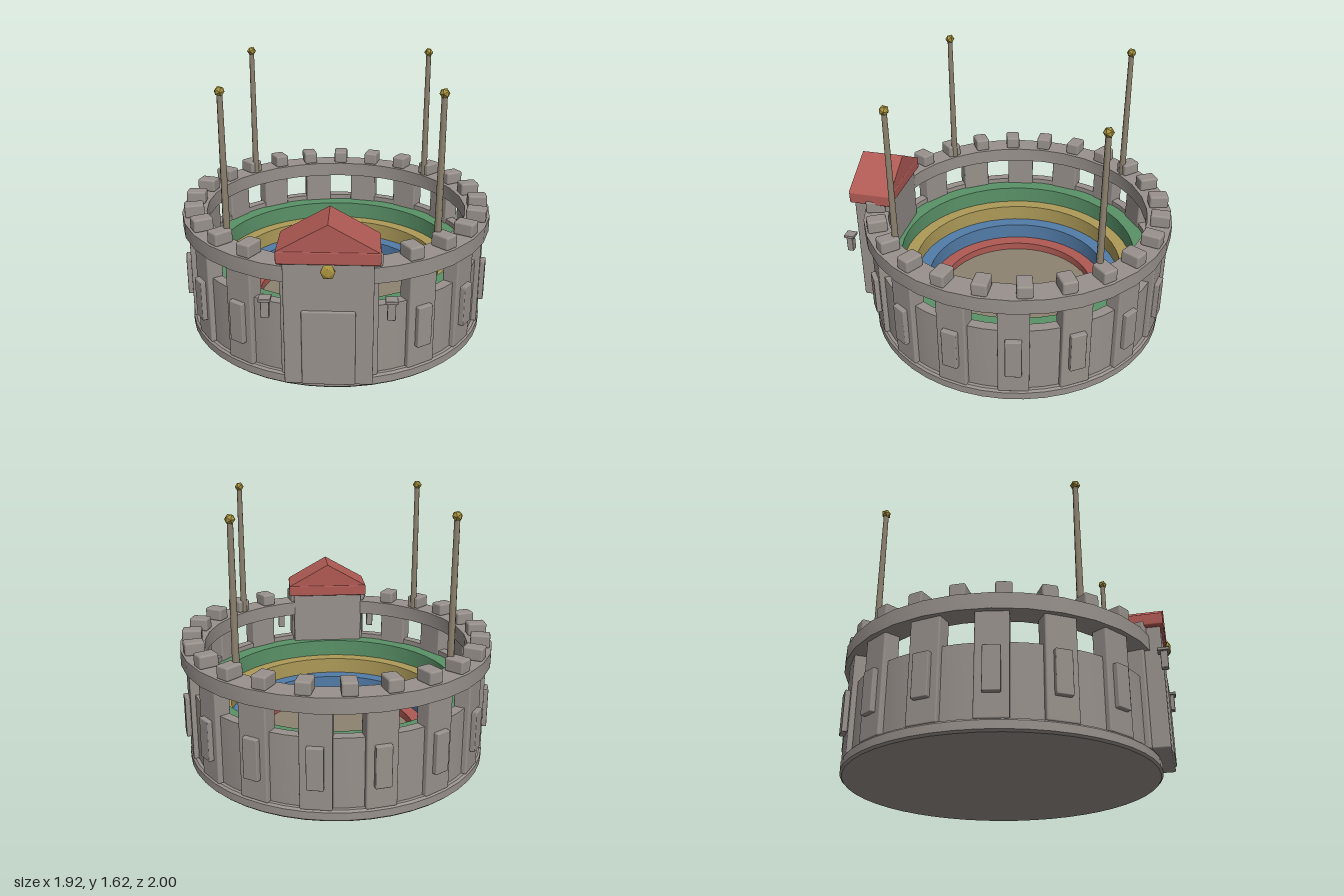
import * as THREE from 'three';
import { toCreasedNormals } from 'three/addons/utils/BufferGeometryUtils.js';
import { RoundedBoxGeometry } from 'three/addons/geometries/RoundedBoxGeometry.js';

const paint = (name, color) => {
  const m = new THREE.MeshStandardMaterial({ color });
  m.name = name;
  return m;
};

export function createModel() {
  const stone = paint('stone', 0x98918c);
  const sand = paint('sand', 0x8e8370);
  const red = paint('red', 0xb05a54);
  const blue = paint('blue', 0x527ca8);
  const yellow = paint('yellow', 0xad9a58);
  const green = paint('green', 0x5a9268);
  const gold = paint('gold', 0xa8923f);

  const model = new THREE.Group();
  model.name = 'arena';
  const arena = new THREE.Group();
  arena.name = 'roundArena';
  arena.position.z = -0.04;
  model.add(arena);

  const add = (parent, name, geometry, material, x = 0, y = 0, z = 0) => {
    const mesh = new THREE.Mesh(geometry, material);
    mesh.name = name;
    mesh.position.set(x, y, z);
    parent.add(mesh);
    return mesh;
  };
  const lathe = (points, segments) => toCreasedNormals(
    new THREE.LatheGeometry(points.map(([r, y]) => new THREE.Vector2(r, y)), segments), 0.5);
  // closed ring with a rectangular section
  const ring = (inner, outer, y0, y1, segments = 48) =>
    lathe([[outer, y0], [outer, y1], [inner, y1], [inner, y0], [outer, y0]], segments);
  const block = (w, h, d, r = 0.01) => new RoundedBoxGeometry(w, h, d, 2, r);
  // group turned around the arena's axis; its +z points outward
  const spoke = (name, angle) => {
    const g = new THREE.Group();
    g.name = name;
    g.rotation.y = angle;
    arena.add(g);
    return g;
  };

  // plinth with softened rims, and sand floor
  add(arena, 'plinth', lathe([[0, 0], [0.92, 0], [0.932, 0.012], [0.932, 0.058], [0.92, 0.07], [0, 0.07]], 48), stone);
  add(arena, 'floor', new THREE.CylinderGeometry(0.505, 0.505, 0.02, 48), sand, 0, 0.075, 0);

  // stepped seating tiers
  [['redTier', red, 0.5, 0.583, 0.135], ['blueTier', blue, 0.583, 0.667, 0.24],
    ['yellowTier', yellow, 0.667, 0.747, 0.345], ['greenTier', green, 0.747, 0.84, 0.455]]
    .forEach(([name, mat, inner, outer, top]) => add(arena, name, ring(inner, outer, 0.065, top), mat));

  // outer wall and the ring carried by the pillars
  add(arena, 'wall', ring(0.84, 0.9, 0.065, 0.487), stone);
  add(arena, 'upperRing', ring(0.81, 0.96, 0.65, 0.742, 32), stone);

  // pillars with raised panels
  const pillar = block(0.18, 0.6, 0.098);
  const panel = block(0.095, 0.25, 0.04, 0.006);
  for (let i = 0; i < 16; i++) {
    const bay = spoke('pillarBay', (i + 0.5) * Math.PI / 8);
    add(bay, 'pillar', pillar, stone, 0, 0.365, 0.876);
    add(bay, 'pillarPanel', panel, stone, 0, 0.325, 0.935);
  }

  // battlements, leaving room for the gatehouse
  const merlon = block(0.09, 0.08, 0.118, 0.012);
  for (let i = 1; i < 24; i++) {
    add(spoke('merlonMount', i * Math.PI / 12), 'merlon', merlon, stone, 0, 0.779, 0.886);
  }

  // four tall poles with gold knobs
  const shaft = new THREE.CylinderGeometry(0.016, 0.021, 0.87, 8);
  const knob = toCreasedNormals(new THREE.IcosahedronGeometry(0.03, 0), 0.1);
  for (let i = 0; i < 4; i++) {
    const mount = spoke('poleMount', (i + 0.5) * Math.PI / 2);
    add(mount, 'pole', shaft, sand, 0, 1.165, 0.838);
    add(mount, 'poleKnob', knob, gold, 0, 1.598, 0.838);
  }

  // gatehouse
  const gate = new THREE.Group();
  gate.name = 'gatehouse';
  model.add(gate);
  add(gate, 'gateBody', block(0.48, 0.73, 0.225), stone, 0, 0.435, 0.8425);
  add(gate, 'gateDoor', block(0.29, 0.45, 0.03), stone, 0, 0.297, 0.951);
  add(gate, 'roofSlab', block(0.545, 0.075, 0.266), red, 0, 0.832, 0.84);
  const gable = new THREE.Shape([[-0.268, 0], [0.268, 0], [0, 0.152]].map(p => new THREE.Vector2(...p)));
  add(gate, 'roofGable', new THREE.ExtrudeGeometry(gable, { depth: 0.266, bevelEnabled: false }), red, 0, 0.868, 0.707);
  const emblem = add(gate, 'gateStud', toCreasedNormals(new THREE.IcosahedronGeometry(0.045, 0), 0.1), gold, 0, 0.762, 0.982);
  emblem.scale.z = 0.4;

  // capped brackets either side of the gate
  for (const s of [-1, 1]) {
    add(gate, 'bracketStem', block(0.045, 0.1, 0.04, 0.005), stone, s * 0.332, 0.538, 0.965);
    add(gate, 'bracketCap', block(0.066, 0.018, 0.066, 0.004), stone, s * 0.332, 0.596, 0.963);
  }
  return model;
}
